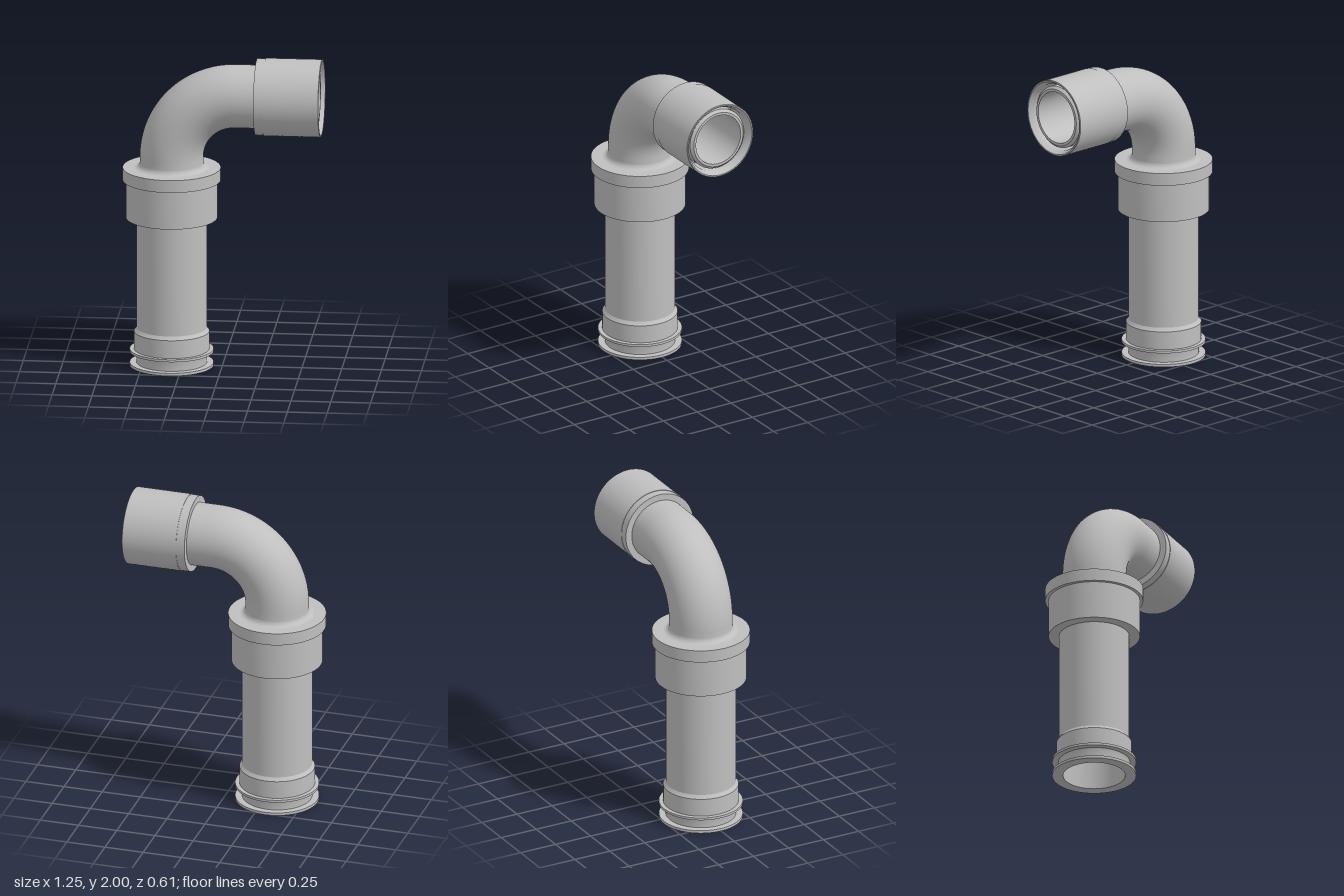
import * as THREE from 'three';
import { toCreasedNormals } from 'three/addons/utils/BufferGeometryUtils.js';

const SEGMENTS = 96;
const AXIS_X = -0.318;  // axis of the upright pipe
const AXIS_Y = 1.757;   // axis of the outlet pipe
const BEND = 0.4;       // centre-line radius of the elbow
const PIPE = 0.199;
const BORE = 0.165;
const BEND_X = AXIS_X + BEND;
const BEND_Y = AXIS_Y - BEND;

export function createModel() {
  const group = new THREE.Group();
  const grey = new THREE.MeshStandardMaterial({ color: 0xbfbfbf, side: THREE.DoubleSide });
  grey.name = 'grey plastic';

  // Turned part from [radius, height] points, closed back to its start if asked
  const turned = (name, points, closed = true) => {
    const profile = points.map(([r, h]) => new THREE.Vector2(r, h));
    if (closed) profile.push(profile[0].clone());
    const geometry = toCreasedNormals(new THREE.LatheGeometry(profile, SEGMENTS), 0.5);
    const mesh = new THREE.Mesh(geometry, grey);
    mesh.name = name;
    group.add(mesh);
    return mesh;
  };
  const upright = (...args) => turned(...args).position.set(AXIS_X, 0, 0);
  const sideways = (...args) => {
    const mesh = turned(...args);
    mesh.rotation.z = -Math.PI / 2;
    mesh.position.y = AXIS_Y;
  };

  // Lower pipe with two seal flanges and a stepped sleeve
  upright('lowerPipe', [
    [0.194, 0], [0.263, 0], [0.263, 0.018], [0.22, 0.018],
    [0.22, 0.075], [0.225, 0.09], [0.263, 0.09], [0.263, 0.106],
    [0.236, 0.106], [0.236, 0.222], [0.231, 0.227], [0.22, 0.245],
    [0.22, 1.24], [0.194, 1.24],
  ]);

  // Collar with a wider lip on top
  upright('collar', [
    [0.22, 0.96], [0.286, 0.96], [0.286, 1.205], [0.307, 1.205],
    [0.307, 1.285], [BORE, 1.285], [BORE, 1.24], [0.22, 1.24],
  ]);

  // Rounded foot where the elbow leaves the collar
  const fillet = [];
  const filletRadius = 0.035;
  for (let i = 0; i <= 8; i++) {
    const a = -Math.PI / 2 - (i / 8) * Math.PI / 2;
    fillet.push([
      PIPE + filletRadius * (1 + Math.cos(a)),
      1.285 + filletRadius * (1 + Math.sin(a)),
    ]);
  }
  upright('elbowFoot', [...fillet, [PIPE, BEND_Y]], false);
  upright('elbowFootBore', [[BORE, BEND_Y], [BORE, 1.285]], false);

  // Quarter bend, outer skin and bore
  for (const [name, radius] of [['elbow', PIPE], ['elbowBore', BORE]]) {
    const bend = new THREE.Mesh(
      new THREE.TorusGeometry(BEND, radius, SEGMENTS, 40, Math.PI / 2), grey);
    bend.name = name;
    bend.rotation.z = Math.PI / 2;
    bend.position.set(BEND_X, BEND_Y, 0);
    group.add(bend);
  }

  // Outlet pipe with a chamfered end
  sideways('outletPipe', [
    [PIPE, BEND_X], [PIPE, 0.585], [0.182, 0.602],
    [BORE, 0.602], [BORE, BEND_X],
  ], false);

  // Socket around the outlet, with a narrow gap inside
  sideways('socket', [
    [PIPE, 0.215], [0.241, 0.215], [0.241, 0.27], [0.244, 0.27],
    [0.244, 0.622], [0.241, 0.625], [0.233, 0.625], [0.214, 0.59],
    [0.214, 0.45], [PIPE, 0.45],
  ]);

  return group;
}
